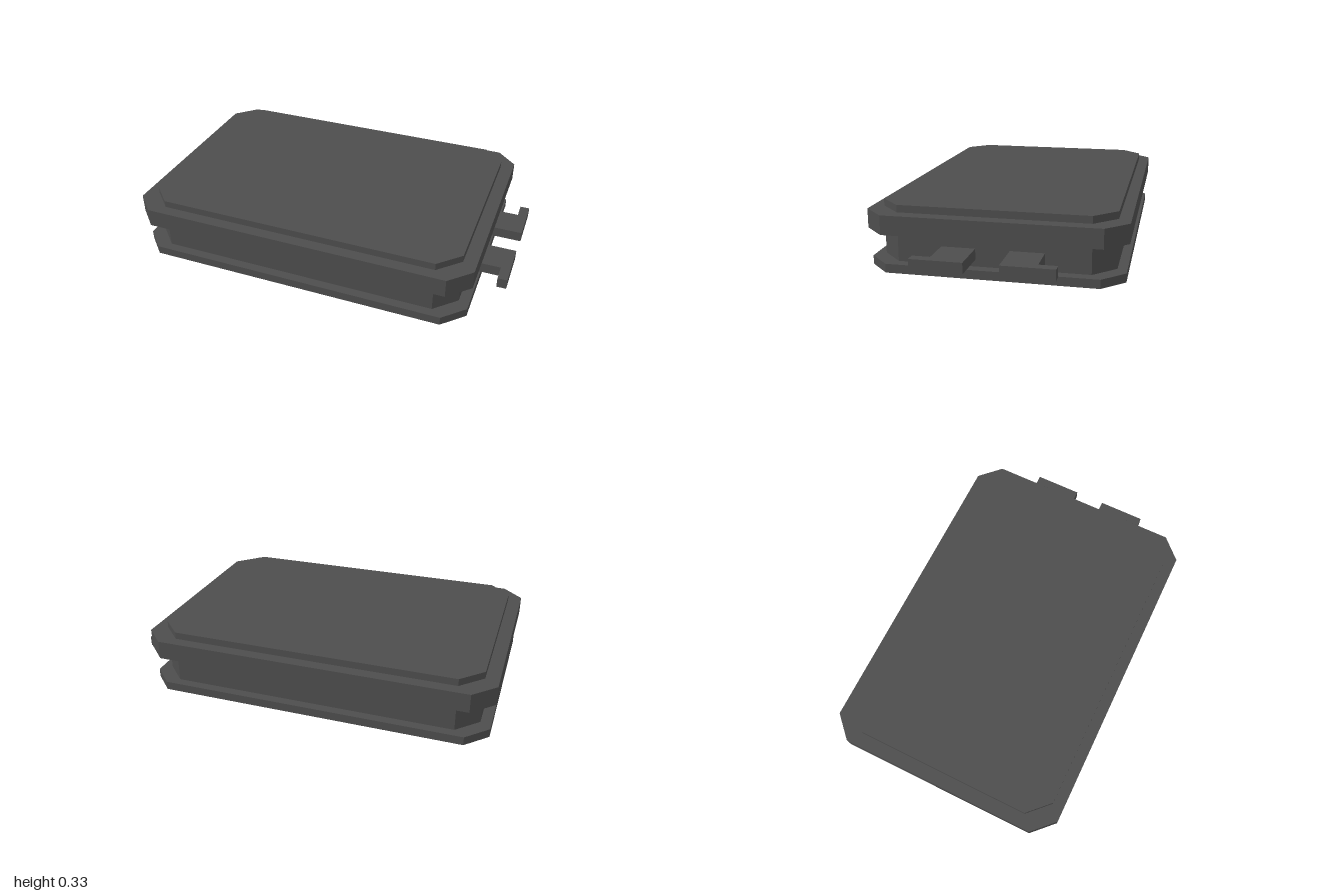
import * as THREE from 'three';

const CX = -0.07; // centre of the case; the connectors extend past it on +x
const material = new THREE.MeshStandardMaterial({ color: 0x4d4d4d, flatShading: true });

function addMesh(group, name, geometry) {
  const mesh = new THREE.Mesh(geometry, material);
  mesh.name = name;
  group.add(mesh);
}

// Horizontal plate with chamfered corners, optionally with a rectangular opening
function plate(halfX, halfZ, y0, y1, opening) {
  const c = 0.11;
  const shape = new THREE.Shape([
    [halfX - c, -halfZ], [halfX, c - halfZ], [halfX, halfZ - c], [halfX - c, halfZ],
    [c - halfX, halfZ], [-halfX, halfZ - c], [-halfX, c - halfZ], [c - halfX, -halfZ],
  ].map(([x, y]) => new THREE.Vector2(x, y)));
  if (opening) {
    const [w, d] = opening;
    shape.holes.push(new THREE.Path([
      [-w, -d], [-w, d], [w, d], [w, -d],
    ].map(([x, y]) => new THREE.Vector2(x, y))));
  }
  return new THREE.ExtrudeGeometry(shape, { depth: y1 - y0, bevelEnabled: false })
    .rotateX(-Math.PI / 2).translate(CX, y0, 0);
}

// Flat piece given by an outline in x and z, lying between two heights
function slab(points, y0, y1) {
  const shape = new THREE.Shape(points.map(([x, z]) => new THREE.Vector2(x, -z)));
  return new THREE.ExtrudeGeometry(shape, { depth: y1 - y0, bevelEnabled: false })
    .rotateX(-Math.PI / 2).translate(0, y0, 0);
}

export function createModel() {
  const group = new THREE.Group();
  group.name = 'case';
  const recess = [0.67, 0.25];

  // Stacked case: base and skirt are open around the underside recess
  addMesh(group, 'basePlate', plate(0.915, 0.635, 0, 0.045, recess));
  addMesh(group, 'bodySkirt', plate(0.86, 0.587, 0.045, 0.08, recess));
  addMesh(group, 'body', plate(0.86, 0.587, 0.08, 0.33));
  addMesh(group, 'upperRim', plate(0.93, 0.647, 0.195, 0.293));

  // Mirrored hooked connectors on the +x end
  for (const s of [1, -1]) {
    const hook = [[0.77, 0.085], [1, 0.085], [1, 0.345], [0.95, 0.345], [0.95, 0.255], [0.77, 0.255]];
    addMesh(group, s > 0 ? 'frontHook' : 'rearHook',
      slab(hook.map(([x, z]) => [x, s * z]), 0.08, 0.135));
  }

  // Small tab on the opposite end
  addMesh(group, 'endTab', new THREE.BoxGeometry(0.075, 0.055, 0.17).translate(-0.9475, 0.1075, 0));
  return group;
}
